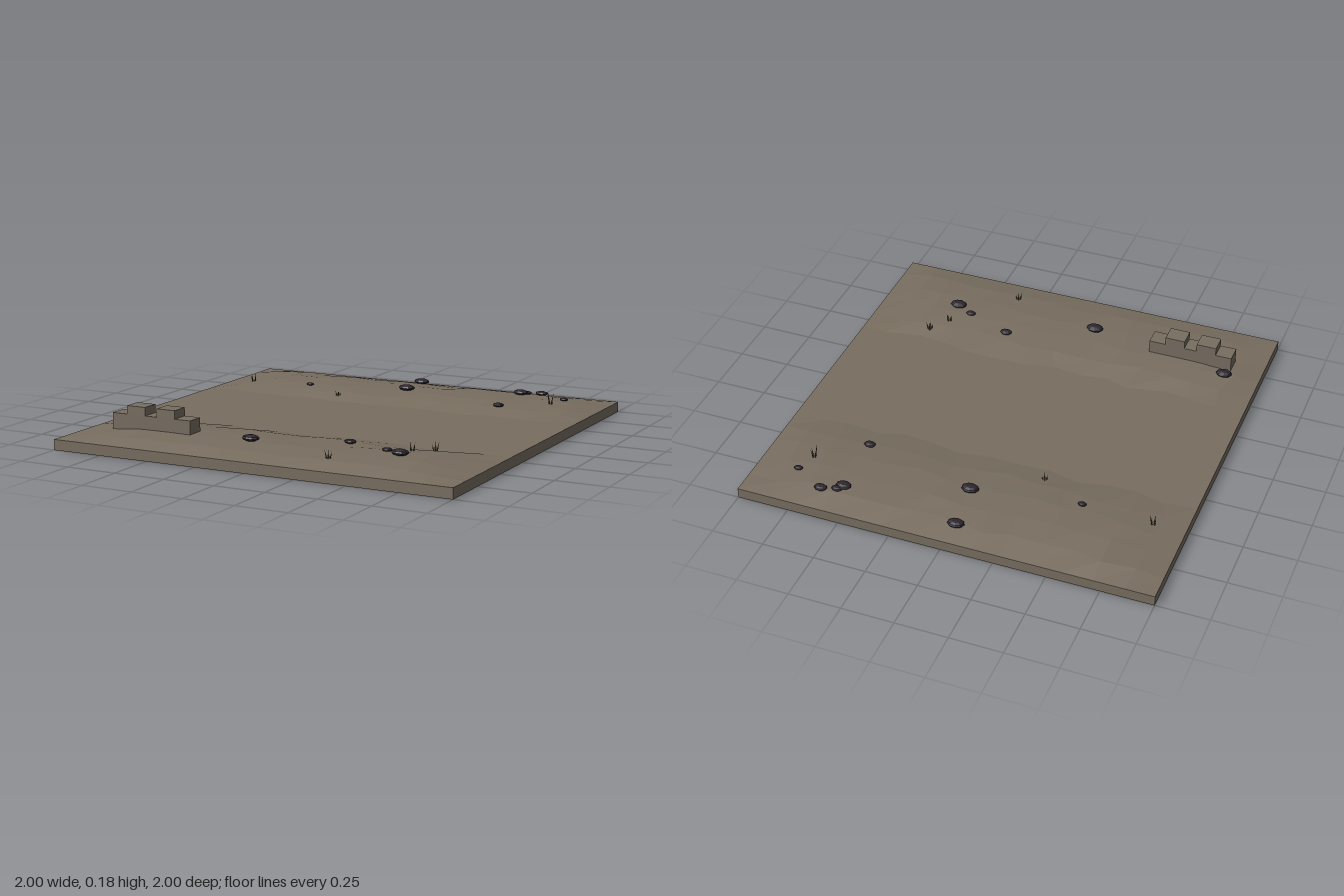
import * as THREE from 'three';

const mat = (name, color, flatShading = true) => {
  const m = new THREE.MeshStandardMaterial({ color, flatShading });
  m.name = name;
  return m;
};

// repeatable wobble in -1..1 for a grid point
const wobble = (i, j, k) => {
  const s = Math.sin(i * 12.99 + j * 78.23 + k * 37.7) * 43758.5453;
  return (s - Math.floor(s)) * 2 - 1;
};

// bank cross-section: distance from the track centre and height
const ROWS = [0, 0.2, 0.38, 0.5, 0.62, 0.75, 0.88, 1];
const HEIGHTS = [0.05, 0.05, 0.05, 0.07, 0.078, 0.079, 0.071, 0.05];

function groundHeight(x, z) {
  const d = Math.abs(z);
  let k = 1;
  while (k < 7 && d > ROWS[k]) k++;
  const t = (d - ROWS[k - 1]) / (ROWS[k] - ROWS[k - 1]);
  const h = HEIGHTS[k - 1] + (HEIGHTS[k] - HEIGHTS[k - 1]) * t;
  return 0.05 + (h - 0.05) * Math.min(1, (1 - Math.abs(x)) / 0.24);
}

export function createModel() {
  const group = new THREE.Group();
  const earth = mat('earth', 0x786e60);
  const stone = mat('wall stone', 0x786e61);
  const darkRock = mat('dark rock', 0x2d2630);
  const dryGrass = mat('dry grass', 0x58523f);

  const add = (name, geometry, material, parent = group) => {
    const mesh = new THREE.Mesh(geometry, material);
    mesh.name = name;
    parent.add(mesh);
    return mesh;
  };

  // slab with two low banks beside a flat track
  const N = 14;
  const land = new THREE.BoxGeometry(2, 0.05, 2, N, 1, N).translate(0, 0.025, 0);
  const p = land.attributes.position;
  for (let n = 0; n < p.count; n++) {
    const i = Math.round((p.getX(n) + 1) * N / 2);
    const j = Math.round((p.getZ(n) + 1) * N / 2);
    const row = Math.abs(j - N / 2);
    let x = p.getX(n), y = p.getY(n);
    let z = Math.sign(j - N / 2) * ROWS[row];
    const inside = i > 0 && i < N && j > 0 && j < N;
    if (y > 0.04 && inside) {
      y = groundHeight(x, z);
      if (row > 2) y += 0.003 * wobble(i, j, 1);
      if (row > 1) {
        x += 0.03 * wobble(i, j, 2);
        z += 0.022 * wobble(i, j, 3);
      }
    }
    p.setXYZ(n, x, y, z);
  }
  land.computeVertexNormals();
  add('ground', land, earth);

  // broken wall: a low course with two raised blocks
  const wall = new THREE.Group();
  wall.name = 'ruinedWall';
  group.add(wall);
  const block = (name, x0, x1, y0, y1) =>
    add(name, new THREE.BoxGeometry(x1 - x0, y1 - y0, 0.088), stone, wall)
      .position.set((x0 + x1) / 2, (y0 + y1) / 2, 0.695);
  block('wallCourse', -0.85, -0.43, 0.06, 0.142);
  block('wallBlockRight', -0.77, -0.672, 0.142, 0.182);
  block('wallBlockLeft', -0.61, -0.512, 0.142, 0.182);

  // flat rocks: x, z, radius
  const rockShape = new THREE.SphereGeometry(1, 9, 6);
  [
    [-0.035, -0.895, 0.041], [0.54, -0.84, 0.038], [0.562, -0.865, 0.027],
    [0.635, -0.885, 0.032], [0.79, -0.795, 0.022], [-0.008, -0.66, 0.043],
    [-0.515, -0.57, 0.021], [0.555, -0.52, 0.029], [-0.83, 0.605, 0.04],
    [0.29, 0.545, 0.03], [-0.12, 0.725, 0.043], [0.6, 0.675, 0.042], [0.515, 0.63, 0.025],
  ].forEach(([x, z, r]) => {
    const rock = add('rock', rockShape, darkRock);
    rock.position.set(x, groundHeight(x, z) + r * 0.32, z);
    rock.scale.set(r, r * 0.36, r * 0.74);
  });

  // grass tufts: x, z, blade height
  [
    [-0.85, -0.57, 0.056], [-0.29, -0.45, 0.038], [0.76, -0.69, 0.07],
    [0.34, 0.85, 0.05], [0.6, 0.55, 0.048], [0.67, 0.46, 0.055],
  ].forEach(([x, z, h], t) => {
    const tuft = new THREE.Group();
    tuft.name = 'grassTuft';
    tuft.position.set(x, groundHeight(x, z) - 0.005, z);
    for (let b = 0; b < 4; b++) {
      const size = h * (1 - 0.12 * b);
      const blade = add('grassBlade',
        new THREE.ConeGeometry(0.004, size, 4).translate(0, size / 2, 0), dryGrass, tuft);
      const a = b * Math.PI / 2 + t * 0.8 + 0.4;
      blade.position.set(Math.cos(a) * 0.007, 0, Math.sin(a) * 0.007);
      blade.rotation.set(Math.sin(a) * 0.22, 0, -Math.cos(a) * 0.22);
    }
    group.add(tuft);
  });

  return group;
}
